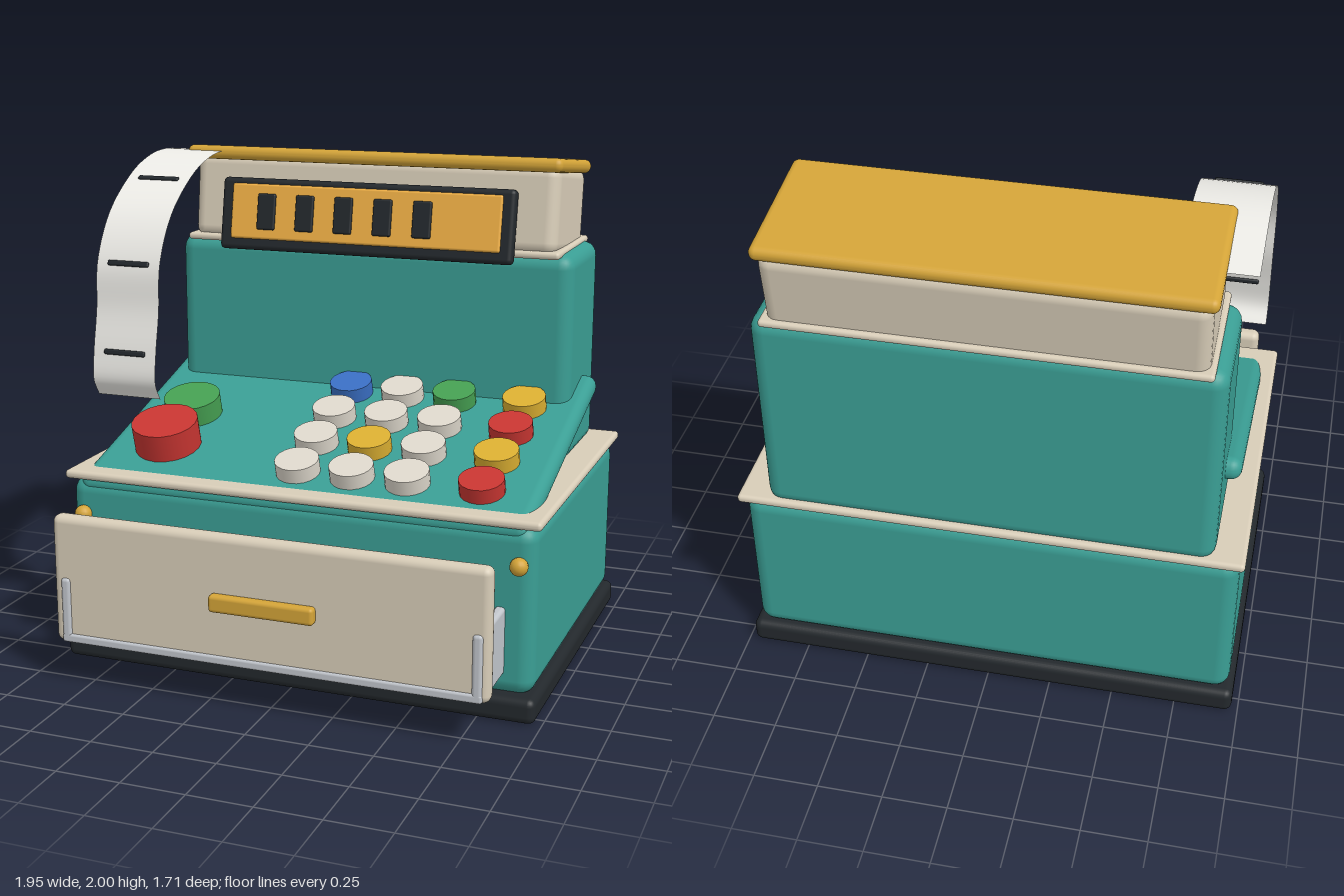
import * as THREE from 'three';
import { RoundedBoxGeometry } from 'three/addons/geometries/RoundedBoxGeometry.js';

const mat = (color) => new THREE.MeshStandardMaterial({ color });
const teal = mat(0x3a9e94), cream = mat(0xd8cdb8), gold = mat(0xd4a438), dark = mat(0x23282c),
  orange = mat(0xf0b045), red = mat(0xc93632), green = mat(0x46a052), blue = mat(0x3a6fc4),
  yellow = mat(0xdcb032), white = mat(0xded8cc), silver = mat(0xc2c6cc), bill = mat(0x62a860);
const paper = new THREE.MeshStandardMaterial({ color: 0xeeede8, side: THREE.DoubleSide });

function add(parent, name, geometry, material, x, y, z) {
  const m = new THREE.Mesh(geometry, material);
  m.name = name;
  m.position.set(x, y, z);
  parent.add(m);
  return m;
}

// Rounded block given by size and centre
const block = (parent, name, material, w, h, d, x, y, z, r = 0.01) =>
  add(parent, name, new RoundedBoxGeometry(w, h, d, 3, r), material, x, y, z);

const disc = (parent, name, material, r, h, x, y, z) =>
  add(parent, name, new THREE.CylinderGeometry(r, r, h, 20), material, x, y, z);

function group(parent, name) {
  const g = new THREE.Group();
  g.name = name;
  parent.add(g);
  return g;
}

function buildHousing(root) {
  block(root, 'base', dark, 1.95, 0.1, 1.4, 0, 0.05, -0.13, 0.03);
  block(root, 'lowerBody', teal, 1.91, 0.66, 1.34, 0, 0.42, -0.14, 0.06);
  block(root, 'bodyTrim', cream, 1.95, 0.035, 1.37, 0, 0.763, -0.145, 0.016);
  block(root, 'tower', teal, 1.72, 0.86, 0.485, 0, 1.18, -0.57, 0.06);
  block(root, 'towerTrim', cream, 1.62, 0.03, 0.53, 0, 1.61, -0.565, 0.014);
  for (const s of [-1, 1])
    add(root, 'sideKnob', new THREE.SphereGeometry(0.035, 16, 12), gold, s * 0.895, 0.607, 0.54);
}

function buildHead(root) {
  const head = group(root, 'head');
  block(head, 'headCase', cream, 1.58, 0.36, 0.49, 0, 1.755, -0.58, 0.05).rotation.x = -0.13;
  block(head, 'roof', gold, 1.62, 0.057, 0.55, 0, 1.94, -0.577, 0.027).rotation.x = 0;
  head.getObjectByName('roof').rotation.x = -0.11;

  // Display window leaning back
  const display = group(head, 'display');
  display.position.set(0, 1.718, -0.3);
  display.rotation.x = -0.18;
  block(display, 'displayFrame', dark, 1.27, 0.3, 0.055, -0.005, 0, 0, 0.02);
  block(display, 'displayPanel', orange, 1.17, 0.23, 0.03, -0.005, 0.01, 0.022, 0.01);
  for (let i = 0; i < 5; i++)
    block(display, 'displaySlot', dark, 0.08, 0.15, 0.02, -0.43 + i * 0.17, 0.01, 0.037, 0.008);
}

function buildKeyboard(root) {
  const keyboard = group(root, 'keyboard');
  const tilt = 0.28;
  keyboard.position.set(0, 0.877, -0.045);
  keyboard.rotation.x = tilt;
  block(keyboard, 'keySlab', teal, 1.84, 0.09, 1.18, 0, 0, 0, 0.043);

  // Key by its ground position, standing out of the slab by h
  const key = (name, m, r, h, x, z) =>
    disc(keyboard, name, m, r, h, x, 0.045 + h / 2, (z + 0.045) / Math.cos(tilt) - 0.015);
  const rows = [
    [blue, white, green, yellow],
    [white, white, white, red],
    [white, yellow, white, yellow],
    [white, white, white, red],
  ];
  const columns = [-0.05, 0.175, 0.4, 0.695];
  rows.forEach((row, j) => row.forEach((m, i) =>
    key('key', m, 0.088, 0.06, columns[i], -0.268 + j * 0.203)));
  key('largeRedKey', red, 0.135, 0.115, -0.655, 0.25);
  key('largeGreenKey', green, 0.118, 0.085, -0.655, 0.0);
}

function buildDrawer(root) {
  const drawer = group(root, 'drawer');
  block(drawer, 'drawerFront', cream, 1.75, 0.515, 0.07, -0.005, 0.43, 0.785, 0.03);
  block(drawer, 'drawerHandle', gold, 0.42, 0.068, 0.045, 0, 0.428, 0.834, 0.015);
  block(drawer, 'drawerFloor', silver, 1.69, 0.035, 0.83, 0, 0.195, 0.415);
  for (const s of [-1, 1])
    block(drawer, 'drawerSide', silver, 0.04, 0.26, 0.83, s * 0.825, 0.31, 0.415, 0.015);
  for (const x of [-0.415, 0, 0.42])
    block(drawer, 'drawerDivider', silver, 0.02, 0.2, 0.7, x, 0.31, 0.41, 0.005);

  // Coins and notes
  for (let i = 0; i < 4; i++)
    disc(drawer, 'goldCoin', gold, 0.068, 0.02, -0.655 + i * 0.013, 0.223 + i * 0.022, 0.645);
  disc(drawer, 'silverCoin', silver, 0.063, 0.02, -0.215, 0.223, 0.66);
  const notes = [[0.23, 0.63, 0.12], [0.22, 0.645, -0.06], [0.645, 0.635, 0.18]];
  notes.forEach(([x, z, turn], i) => {
    const n = block(drawer, 'note', bill, i === 2 ? 0.29 : 0.33, 0.012, 0.15, x, 0.222 + i * 0.014, z, 0.004);
    n.rotation.y = turn;
  });
}

function buildReceipt(root) {
  const receipt = group(root, 'receipt');
  const x = -0.783;
  const path = new THREE.CatmullRomCurve3([
    [-0.66, 1.935], [-0.31, 1.975], [-0.13, 1.95], [0.02, 1.89], [0.2, 1.76], [0.305, 1.585],
    [0.325, 1.4], [0.36, 1.235], [0.37, 1.12], [0.33, 1.05],
  ].map(([z, y]) => new THREE.Vector3(x, y, z)));

  // Flat strip bent along the path
  const strip = new THREE.PlaneGeometry(0.275, 1, 1, 48);
  const p = strip.attributes.position;
  for (let i = 0; i < p.count; i++) {
    const c = path.getPoint(0.5 - p.getY(i));
    p.setXYZ(i, x + p.getX(i), c.y, c.z);
  }
  strip.computeVertexNormals();
  add(receipt, 'paperStrip', strip, paper, 0, 0, 0);

  // Printed bars, each at a control point of the path
  for (const k of [3, 5, 7]) {
    const c = path.getPoint(k / 9), t = path.getTangent(k / 9);
    const bar = block(receipt, 'printedBar', dark, 0.18, 0.022, 0.016, x, c.y, c.z, 0.007);
    bar.rotation.x = Math.atan2(-t.z, -t.y);
  }
}

export function createModel() {
  const root = new THREE.Group();
  root.name = 'cashRegister';
  buildHousing(root);
  buildHead(root);
  buildKeyboard(root);
  buildDrawer(root);
  buildReceipt(root);
  return root;
}
